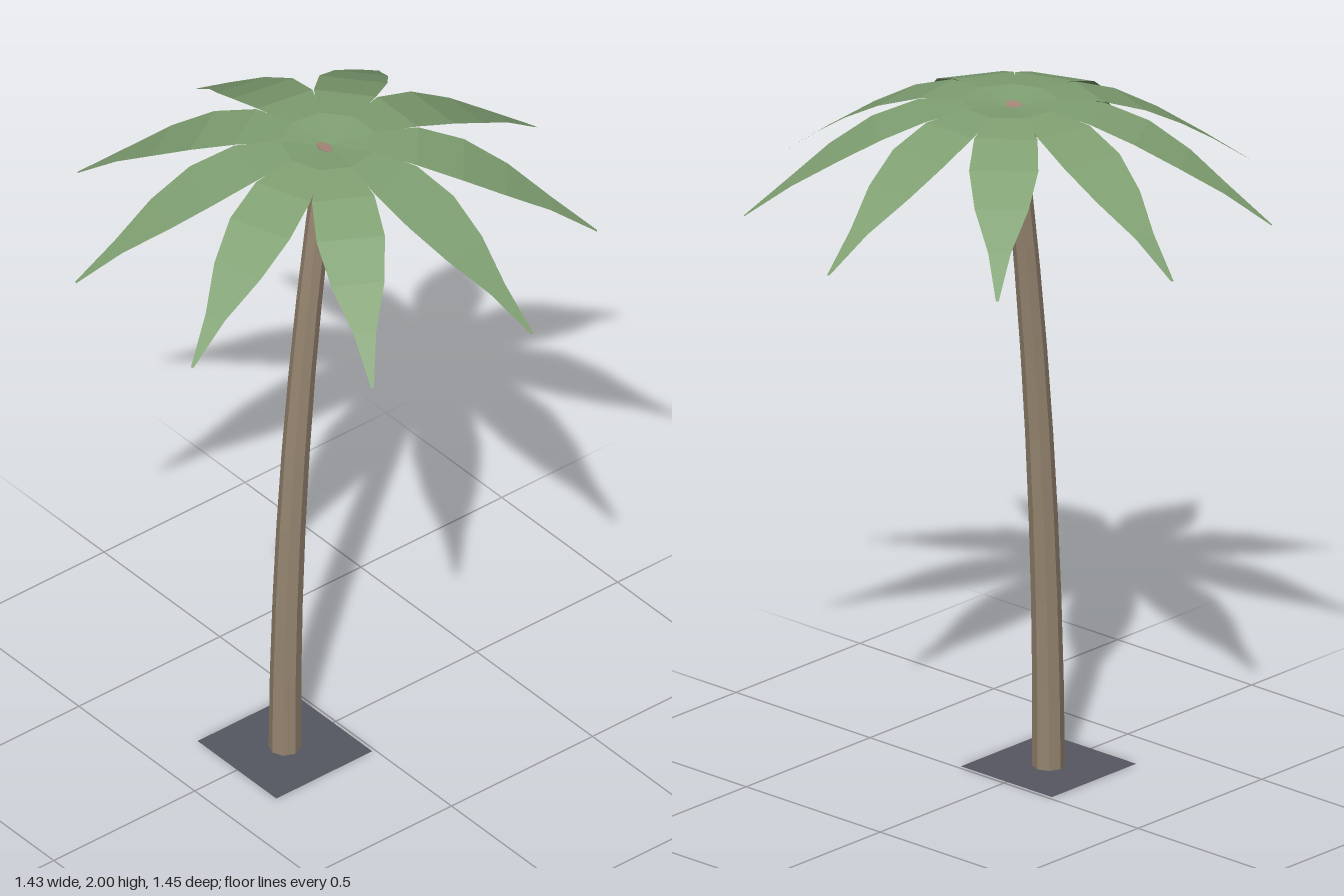
import * as THREE from 'three';

const mat = (name, color, extra = {}) => {
  const m = new THREE.MeshStandardMaterial({ color, ...extra });
  m.name = name;
  return m;
};

// Gives every face its own flat normal
const faceted = (geometry) => {
  const g = geometry.index ? geometry.toNonIndexed() : geometry;
  g.computeVertexNormals();
  return g;
};

// Trunk centre line: leans towards +x as it rises
const BASE_X = -0.18, LEAN = 0.155, TRUNK_H = 1.987;
const trunkX = (y) => BASE_X + LEAN * (y / 2) ** 2;

function trunkGeometry() {
  const g = new THREE.CylinderGeometry(0.032, 0.045, TRUNK_H, 8, 8);
  g.translate(0, TRUNK_H / 2, 0);
  const p = g.attributes.position;
  for (let i = 0; i < p.count; i++) {
    const x = p.getX(i), y = p.getY(i);
    // shift along the curve and tilt each ring square to it
    p.setXY(i, x + trunkX(y), y - x * LEAN * y / 2);
  }
  return faceted(g);
}

// Frond stations: distance from crown, height, half width
const FROND = [
  [0, 1.985, 0.012], [0.125, 2.0, 0.05], [0.245, 1.985, 0.087], [0.37, 1.94, 0.095],
  [0.49, 1.873, 0.074], [0.61, 1.792, 0.031], [0.735, 1.7, 0.004],
];

function frondGeometry() {
  const g = new THREE.PlaneGeometry(1, 1, 1, FROND.length - 1);
  const p = g.attributes.position;
  for (let i = 0; i < p.count; i++) {
    const [d, y, half] = FROND[Math.floor(i / 2)];
    p.setXYZ(i, d, y, i % 2 ? -half : half);
  }
  // keep the faces looking up
  const idx = g.index.array;
  const [a, b, c] = [0, 1, 2].map((k) => new THREE.Vector3().fromBufferAttribute(p, idx[6 + k]));
  if (b.sub(a).cross(c.sub(a)).y < 0) {
    for (let k = 0; k < idx.length; k += 3) [idx[k], idx[k + 1]] = [idx[k + 1], idx[k]];
  }
  return faceted(g);
}

export function createModel() {
  const bark = mat('bark brown', 0x968570);
  const cut = mat('cut wood', 0xa5877a);
  const leaf = mat('leaf green', 0x80a072, { side: THREE.DoubleSide });
  const nut = mat('nut brown', 0x8a7662);
  const ground = mat('slate grey', 0x555761, { side: THREE.DoubleSide });

  const model = new THREE.Group();
  model.name = 'palmTree';
  const add = (name, geometry, material, parent = model) => {
    const mesh = new THREE.Mesh(geometry, material);
    mesh.name = name;
    parent.add(mesh);
    return mesh;
  };

  // Ground patch under the trunk
  add('groundPatch', new THREE.PlaneGeometry(0.34, 0.34).rotateX(-Math.PI / 2), ground)
    .position.set(BASE_X, 0.001, 0);

  // Curved trunk: side, top, bottom
  add('trunk', trunkGeometry(), [bark, cut, bark]);

  // Crown of nine drooping fronds
  const crown = new THREE.Group();
  crown.name = 'crown';
  crown.position.x = -0.025;
  model.add(crown);
  const frond = frondGeometry();
  for (let i = 0; i < 9; i++) {
    add('frond', frond, leaf, crown).rotation.y = (i / 9) * Math.PI * 2;
  }

  // Nuts clustered under the crown
  const nutShape = faceted(new THREE.SphereGeometry(0.027, 7, 5));
  for (const [x, y, z] of [[-0.05, 1.918, 0.048], [-0.05, 1.918, -0.048], [-0.082, 1.93, 0]]) {
    add('nut', nutShape, nut).position.set(x, y, z);
  }

  return model;
}
